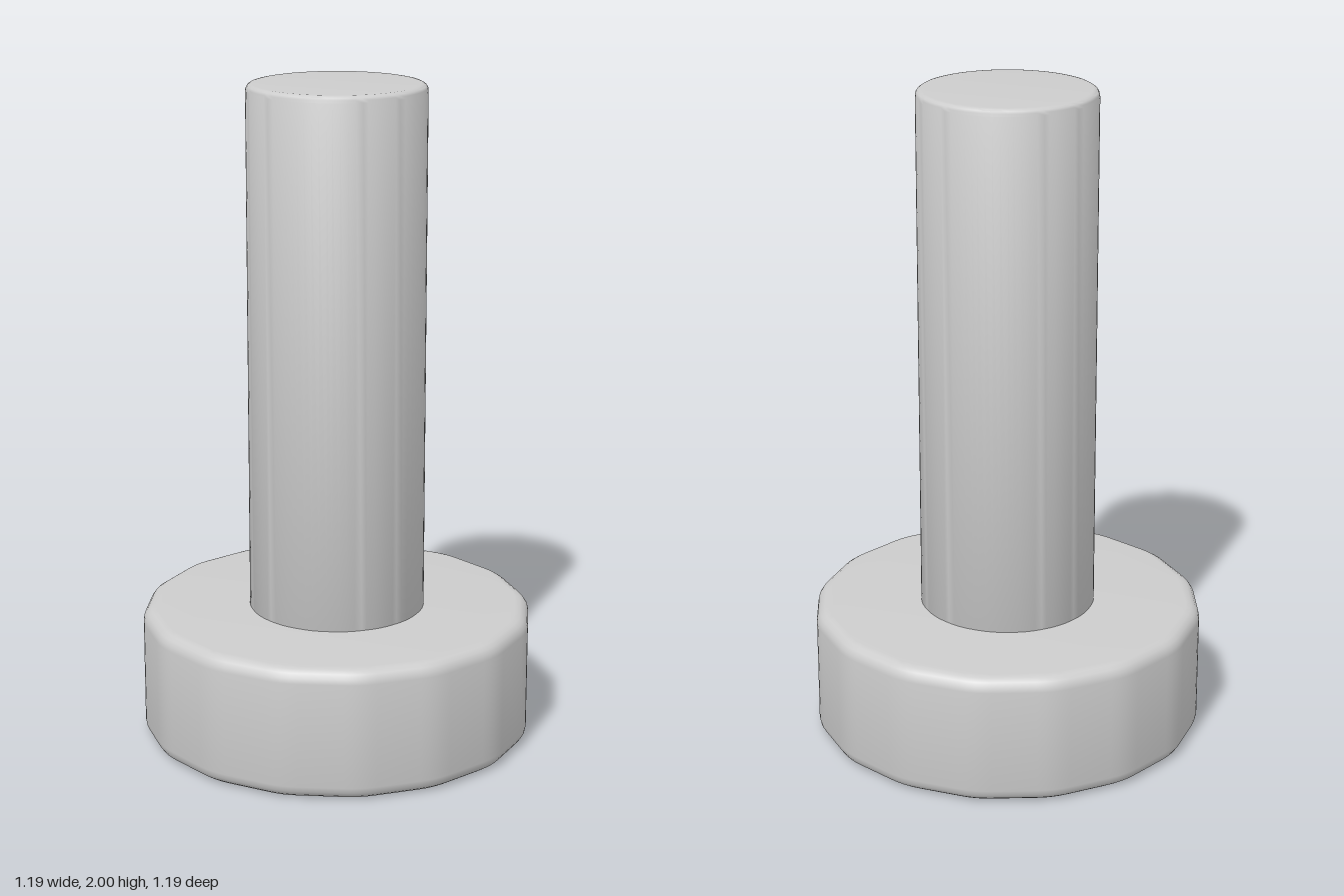
import * as THREE from 'three';
import { toCreasedNormals } from 'three/addons/utils/BufferGeometryUtils.js';

const SIDES = 16;

// Sixteen-sided outline whose corners are rounded off
function outline(radius, cut) {
  const shape = new THREE.Shape();
  const corner = (i) => {
    const a = (i / SIDES) * Math.PI * 2;
    return new THREE.Vector2(Math.cos(a) * radius, Math.sin(a) * radius);
  };
  const edge = 2 * radius * Math.sin(Math.PI / SIDES);
  for (let i = 0; i < SIDES; i++) {
    const c = corner(i);
    const start = c.clone().lerp(corner(i - 1), cut / edge);
    const end = c.clone().lerp(corner(i + 1), cut / edge);
    if (i === 0) shape.moveTo(start.x, start.y);
    else shape.lineTo(start.x, start.y);
    shape.quadraticCurveTo(c.x, c.y, end.x, end.y);
  }
  shape.closePath();
  return shape;
}

// Upright disc or post with soft rims, from y = bottom to y = top
function roundedPost(name, radius, cut, bevel, bottom, top, material) {
  const geometry = new THREE.ExtrudeGeometry(outline(radius, cut), {
    depth: top - bottom - 2 * bevel,
    curveSegments: 4,
    bevelEnabled: true,
    bevelThickness: bevel,
    bevelSize: bevel,
    bevelOffset: -bevel,
    bevelSegments: 4,
  });
  geometry.rotateX(-Math.PI / 2);
  geometry.translate(0, bottom + bevel, 0);
  const mesh = new THREE.Mesh(toCreasedNormals(geometry, 0.6), material);
  mesh.name = name;
  return mesh;
}

export function createModel() {
  const model = new THREE.Group();
  model.name = 'bolt';
  const grey = new THREE.MeshStandardMaterial({ color: 0xcccccc });
  grey.name = 'light grey';

  // Wide head at the bottom, slim shaft standing on it
  model.add(roundedPost('head', 0.6, 0.05, 0.04, 0, 0.4, grey));
  model.add(roundedPost('shaft', 0.272, 0.045, 0.02, 0.36, 2, grey));
  return model;
}
